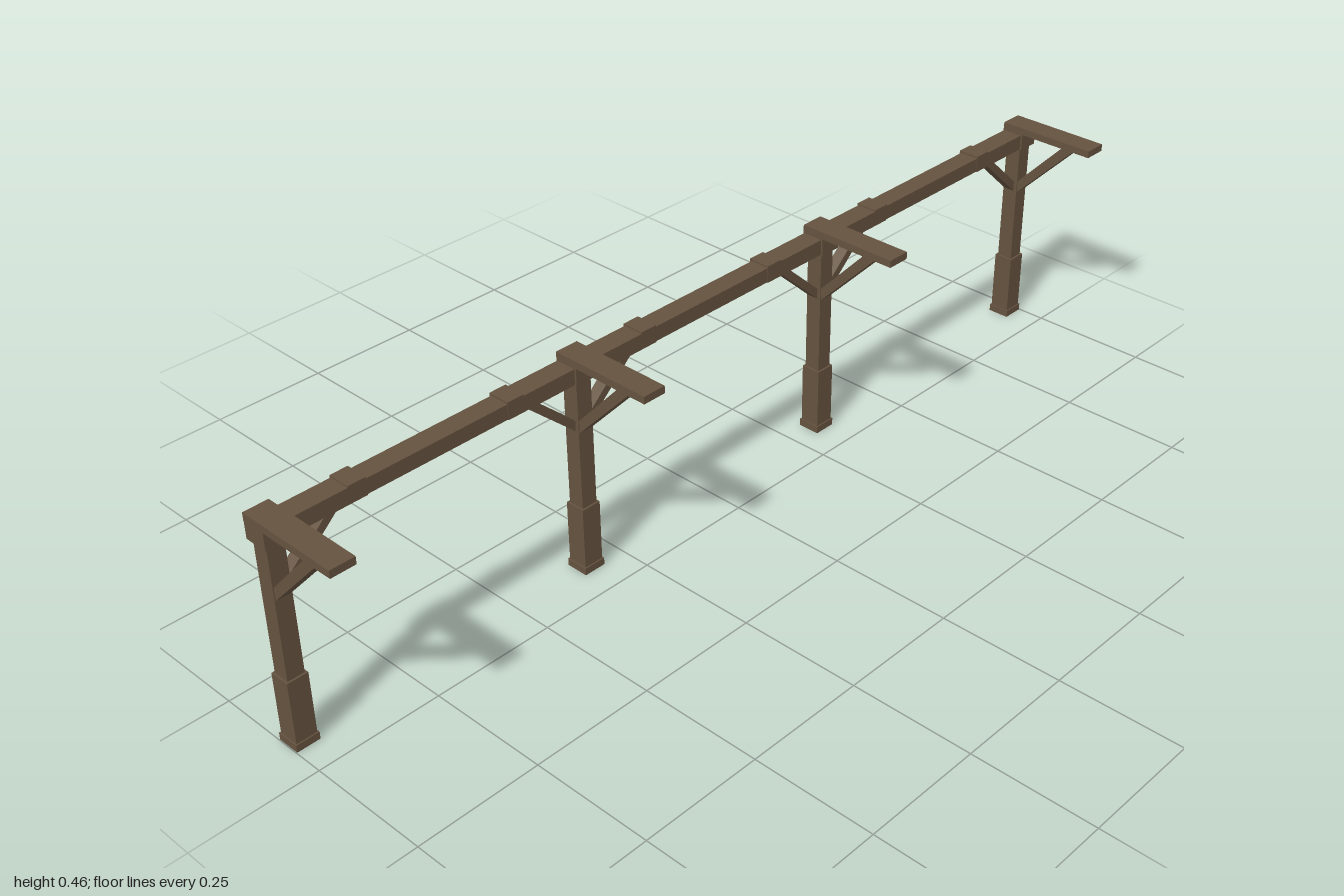
import * as THREE from 'three';

const wood = new THREE.MeshStandardMaterial({ color: 0x65523f, flatShading: true });
const POST_Z = -0.084;

// Box given by its extents on each axis
function box(name, [x0, x1], [y0, y1], [z0, z1]) {
  const mesh = new THREE.Mesh(new THREE.BoxGeometry(x1 - x0, y1 - y0, z1 - z0), wood);
  mesh.name = name;
  mesh.position.set((x0 + x1) / 2, (y0 + y1) / 2, (z0 + z1) / 2);
  return mesh;
}

// Diagonal strut with ends cut flush: outline in (reach, height), extruded across its width
function brace(name, outline, width) {
  const shape = new THREE.Shape(outline.map(([a, b]) => new THREE.Vector2(a, b)));
  const geometry = new THREE.ExtrudeGeometry(shape, { depth: width, bevelEnabled: false });
  geometry.translate(0, 0, -width / 2);
  const mesh = new THREE.Mesh(geometry, wood);
  mesh.name = name;
  return mesh;
}

function createPost(x, sides) {
  const post = new THREE.Group();
  post.name = 'post';
  post.position.x = x;
  const square = (name, half, y) =>
    box(name, [-half, half], y, [POST_Z - half, POST_Z + half]);
  post.add(
    square('foot', 0.0235, [0, 0.015]),
    square('base', 0.021, [0.015, 0.143]),
    square('shaft', 0.017, [0.143, 0.42]),
    box('headBlock', [-0.0235, 0.0235], [0.411, 0.448], [-0.108, -0.059]),
    box('crossArm', [-0.0245, 0.0245], [0.447, 0.462], [-0.107, 0.109])
  );

  // Strut under the projecting arm
  const front = brace('frontBrace',
    [[0.015, 0.304], [0.153, 0.448], [0.125, 0.448], [0.015, 0.330]].map(([a, b]) => [a, b]), 0.03);
  front.rotation.y = -Math.PI / 2;
  front.position.z = POST_Z;
  post.add(front);

  // Struts under the long beam
  for (const side of sides) {
    const strut = brace('beamBrace',
      [[0.015, 0.306], [0.134, 0.414], [0.110, 0.414], [0.015, 0.328]], 0.024);
    strut.rotation.y = side > 0 ? 0 : Math.PI;
    strut.position.z = POST_Z - 0.003;
    post.add(strut);
  }
  return post;
}

export function createModel() {
  const model = new THREE.Group();
  model.name = 'pergola';
  const xs = [-0.975, -0.325, 0.325, 0.975];

  xs.forEach((x, i) => {
    const sides = i === 0 ? [1] : i === 3 ? [-1] : [-1, 1];
    model.add(createPost(x, sides));
    // Beam length carried by each post
    model.add(box('beamOverPost', [Math.max(x - 0.14, -0.998), Math.min(x + 0.14, 0.998)],
      [0.412, 0.444], [-0.106, -0.063]));
  });

  // Joining spans with a lapped collar at each end
  for (let i = 0; i < 3; i++) {
    const a = xs[i] + 0.14, b = xs[i + 1] - 0.14;
    model.add(
      box('beamSpan', [a, b], [0.413, 0.443], [-0.105, -0.064]),
      box('beamCollar', [a, a + 0.036], [0.412, 0.447], [-0.109, -0.063]),
      box('beamCollar', [b - 0.036, b], [0.412, 0.447], [-0.109, -0.063])
    );
  }
  return model;
}
